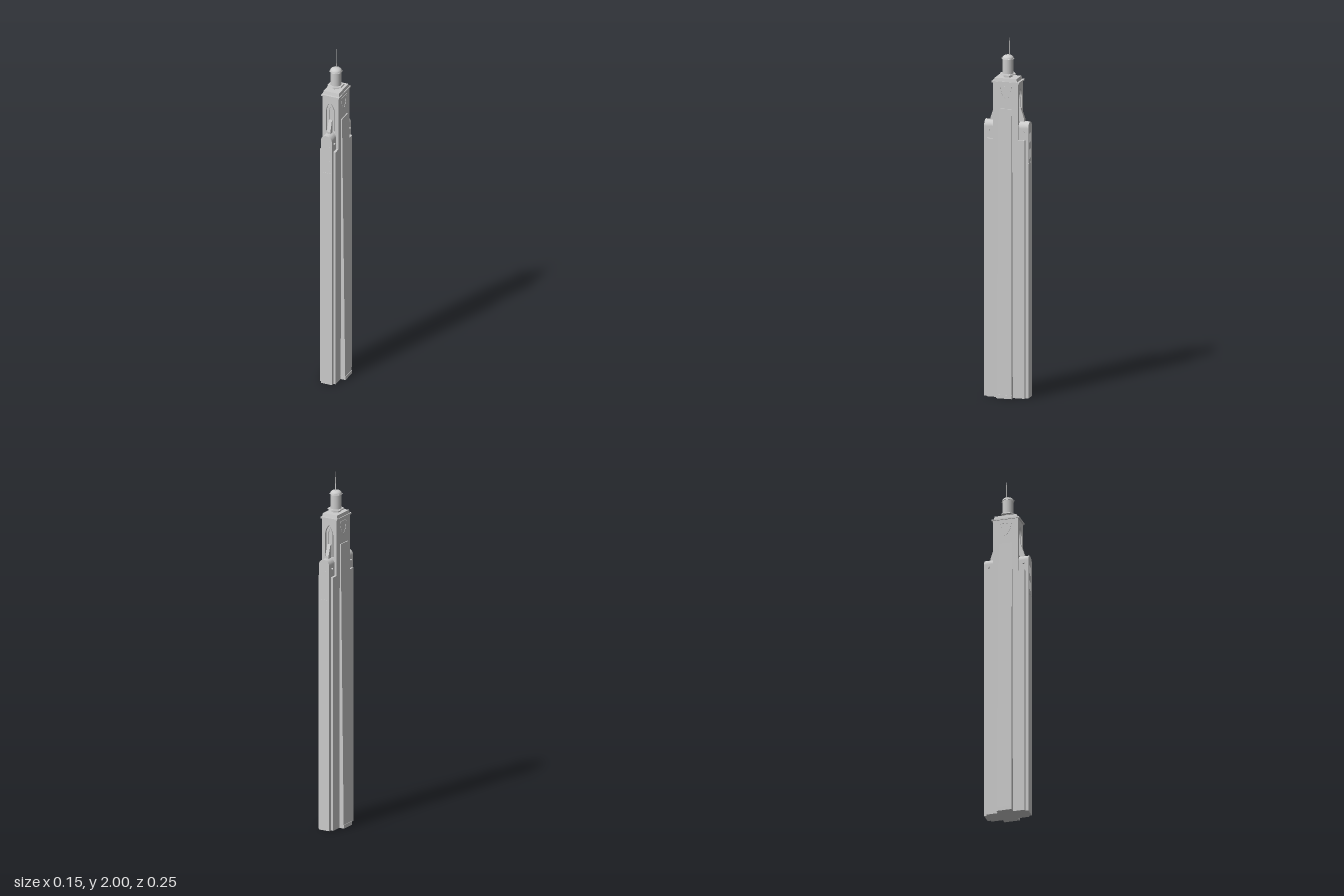
import * as THREE from 'three';

const grey = new THREE.MeshStandardMaterial({ color: 0xcccccc, flatShading: true, side: THREE.DoubleSide });
const smooth = new THREE.MeshStandardMaterial({ color: 0xcccccc, side: THREE.DoubleSide });

export function createModel() {
  const tower = new THREE.Group();
  tower.name = 'tower';

  const add = (name, geo, x = 0, y = 0, z = 0, mat = grey, parent = tower) => {
    const mesh = new THREE.Mesh(geo, mat);
    mesh.name = name;
    mesh.position.set(x, y, z);
    parent.add(mesh);
    return mesh;
  };

  // Box from y0 to y1 with half sizes at the bottom, narrowing to those at the top
  const block = (hx, hz, y0, y1, tx = hx, tz = hz) => {
    const geo = new THREE.BoxGeometry(2, 1, 2);
    const p = geo.attributes.position;
    for (let i = 0; i < p.count; i++) {
      const top = p.getY(i) > 0;
      p.setXYZ(i, p.getX(i) * (top ? tx : hx), top ? y1 : y0, p.getZ(i) * (top ? tz : hz));
    }
    geo.computeVertexNormals();
    return geo;
  };

  // Pointed arch outline
  const arch = (path, w, y0, spring, tip) => {
    path.moveTo(-w, y0);
    path.lineTo(w, y0);
    path.lineTo(w, spring);
    path.quadraticCurveTo(w * 0.9, (spring + tip) / 2, 0, tip);
    path.quadraticCurveTo(-w * 0.9, (spring + tip) / 2, -w, spring);
    return path;
  };
  const extrude = (shape, depth) =>
    new THREE.ExtrudeGeometry(shape, { depth, bevelEnabled: false, curveSegments: 10 });

  // Central shaft and tapering side wings
  add('shaft', block(0.047, 0.07, 0, 1.5));
  add('upperShaft', block(0.047, 0.058, 1.5, 1.745));
  add('sideWings', block(0.074, 0.042, 0, 1.6, 0.053, 0.038));
  add('wingPlinth', block(0.076, 0.043, 0, 0.02));

  // Front and back faces
  for (const side of [1, -1]) {
    const face = new THREE.Group();
    face.name = side > 0 ? 'frontFace' : 'backFace';
    face.rotation.y = side > 0 ? 0 : Math.PI;
    tower.add(face);

    // Upper wall with a pointed window opening
    const wall = new THREE.Shape([[-0.047, 1.5], [0.047, 1.5], [0.047, 1.745], [-0.047, 1.745]]
      .map(([x, y]) => new THREE.Vector2(x, y)));
    wall.holes.push(arch(new THREE.Path(), 0.026, 1.53, 1.66, 1.71));
    add('archedWall', extrude(wall, 0.012), 0, 0, 0.058, grey, face);
    const frame = arch(new THREE.Shape(), 0.018, 1.53, 1.65, 1.695);
    frame.holes.push(arch(new THREE.Path(), 0.013, 1.535, 1.645, 1.685));
    add('windowFrame', extrude(frame, 0.006), 0, 0, 0.058, grey, face);

    // Projecting bay with a barrel roof
    const bay = new THREE.Shape();
    bay.moveTo(-0.033, 0);
    bay.lineTo(0.033, 0);
    bay.lineTo(0.033, 1.495);
    bay.absarc(0, 1.495, 0.033, 0, Math.PI, false);
    add('bay', extrude(bay, 0.065), 0, 0, 0.06, grey, face);

    // Slim windows on the bay
    for (const x of [-0.014, 0.014])
      for (const y of [1.35, 1.44])
        add('baySlit', new THREE.BoxGeometry(0.008, 0.05, 0.002), x, y, 0.125, grey, face);
    add('bayLedge', new THREE.BoxGeometry(0.05, 0.005, 0.003), 0, 1.3, 0.125, grey, face);

    // Sloping brace above the bay roof
    const brace = new THREE.Shape([[0.065, 1.5], [0.095, 1.5], [0.095, 1.54], [0.085, 1.57], [0.075, 1.6], [0.065, 1.6]]
      .map(([z, y]) => new THREE.Vector2(z, y)));
    add('brace', extrude(brace, 0.02), -0.01, 0, 0, grey, face).rotation.y = -Math.PI / 2;
    face.children.at(-1).position.x = 0.01;

    // Corner piers and small knobs beside the bay
    for (const s of [1, -1]) {
      add('cornerPier', block(0.0075, 0.025, 0, 1.43), s * 0.039, 0, 0.083, grey, face);
      add('knob', new THREE.CylinderGeometry(0.005, 0.005, 0.012, 8), s * 0.036, 1.475, 0.098, grey, face)
        .rotation.z = Math.PI / 2;
    }
  }

  // Shield reliefs high on the sides
  const shield = new THREE.Shape();
  shield.moveTo(-0.034, 1.725);
  shield.quadraticCurveTo(-0.032, 1.67, 0, 1.645);
  shield.quadraticCurveTo(0.032, 1.67, 0.034, 1.725);
  const inner = new THREE.Path();
  inner.moveTo(-0.026, 1.718);
  inner.quadraticCurveTo(-0.025, 1.675, 0, 1.656);
  inner.quadraticCurveTo(0.025, 1.675, 0.026, 1.718);
  shield.holes.push(inner);
  for (const s of [1, -1])
    add('sideShield', extrude(shield, 0.003), s * 0.046, 0, 0).rotation.y = s * Math.PI / 2;

  // Stepped cornice
  add('cornicePlate', block(0.052, 0.078, 1.742, 1.75));
  add('corniceStep', block(0.048, 0.066, 1.75, 1.768, 0.045, 0.062));

  // Six-sided lantern with dome
  add('lanternNeck', new THREE.CylinderGeometry(0.026, 0.026, 0.03, 6), 0, 1.775, 0);
  add('lanternBase', new THREE.CylinderGeometry(0.044, 0.046, 0.006, 6), 0, 1.785, 0);
  add('lanternDrum', new THREE.CylinderGeometry(0.03, 0.03, 0.082, 16), 0, 1.829, 0, smooth);
  add('lanternEave', new THREE.CylinderGeometry(0.034, 0.037, 0.004, 6), 0, 1.87, 0);
  const dome = add('dome', new THREE.SphereGeometry(0.032, 20, 8, 0, Math.PI * 2, 0, Math.PI / 2), 0, 1.87, 0, smooth);
  dome.scale.y = 0.65;

  // Thin mast
  add('mast', new THREE.CylinderGeometry(0.001, 0.003, 0.115, 6), -0.002, 1.9425, -0.008);
  return tower;
}
